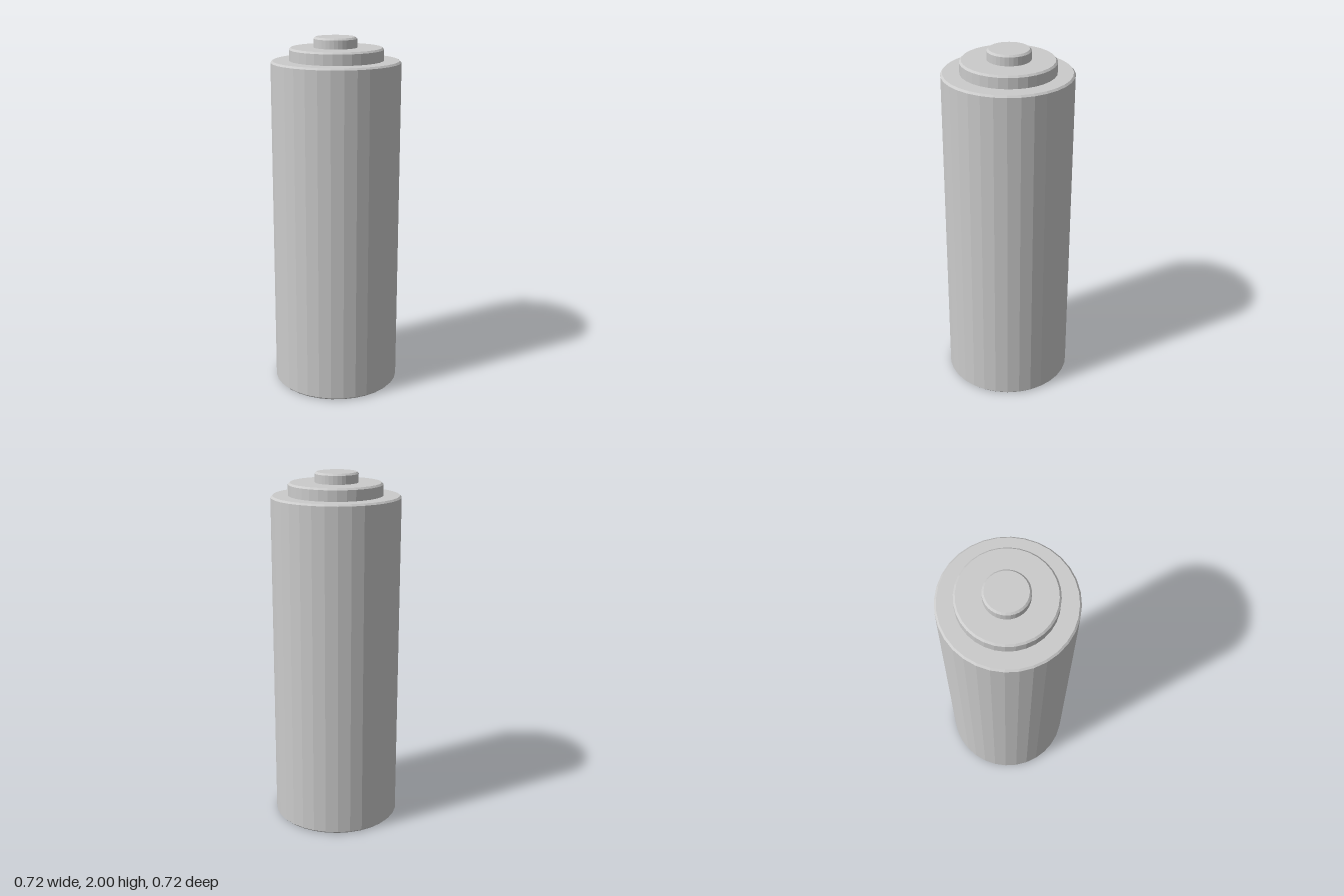
import * as THREE from 'three';

const SIDES = 32;
const BEVEL = 0.01;

// Closed disc or column with chamfered rims
function bevelledCylinder(name, radius, bottom, top, material) {
  const profile = [
    [0, bottom],
    [radius - BEVEL, bottom],
    [radius, bottom + BEVEL],
    [radius, top - BEVEL],
    [radius - BEVEL, top],
    [0, top],
  ].map(([r, y]) => new THREE.Vector2(r, y));
  const mesh = new THREE.Mesh(new THREE.LatheGeometry(profile, SIDES), material);
  mesh.name = name;
  return mesh;
}

export function createModel() {
  const group = new THREE.Group();
  group.name = 'battery';
  const material = new THREE.MeshStandardMaterial({ color: 0xcccccc, flatShading: true });

  // Main casing
  const casing = bevelledCylinder('casing', 0.358, 0, 1.874, material);

  // Raised collar on the casing, set very slightly off centre
  const collar = bevelledCylinder('collar', 0.26, 1.85, 1.943, material);
  collar.position.set(0.001, 0, -0.004);

  // Small contact terminal
  const terminal = bevelledCylinder('terminal', 0.119, 1.92, 2, material);
  terminal.position.set(-0.005, 0, -0.004);

  group.add(casing, collar, terminal);
  return group;
}
